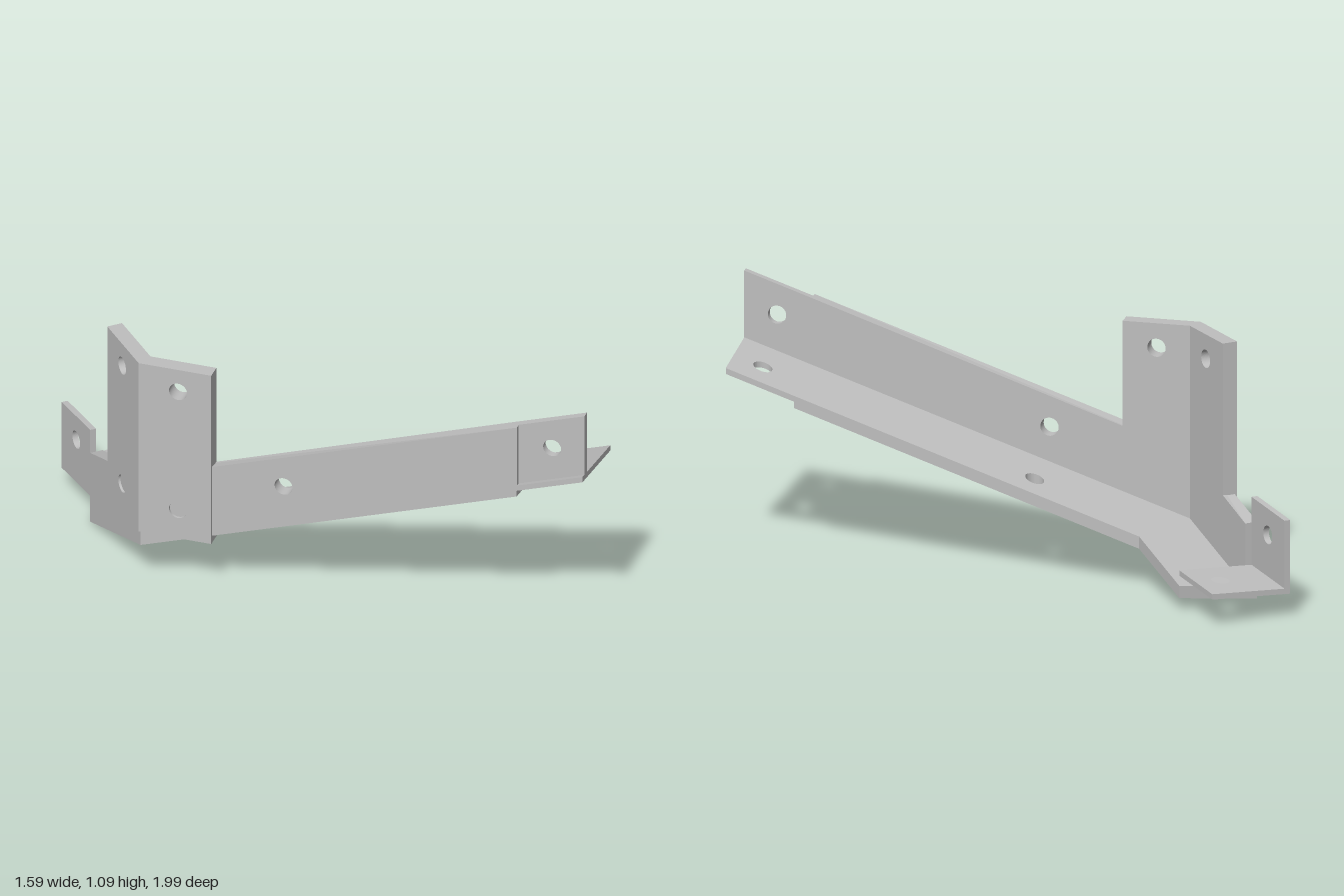
import * as THREE from 'three';

const steel = new THREE.MeshStandardMaterial({ color: 0xbfbfbf });
steel.name = 'grey steel';

const CORNER = [-0.785, -0.24];      // outer bend in plan (x, z)
const LONG = [0.738, 0.675];         // plan direction of the long arm
const SHORT = [0, 1];                // plan direction of the short arm (runs to negative s)
const T = 0.053;                     // wall thickness
const HALF = 0.023;                  // lap joint depth in the walls
const R = 0.037;                     // bolt hole radius

// Slope of the main flange and of the stepped end tab
const mainPlane = (x, z) => 0.41 + 0.148 * x + 0.336 * z;
const tabPlane = (x, z) => 0.165 + 0.07 * (x + 0.44) + 0.09 * (z + 0.725);

// Extrude an outline with round holes, then move each vertex by a rule
function plate(name, outline, holes, from, to, rule) {
  const shape = new THREE.Shape(outline.map(([u, v]) => new THREE.Vector2(u, v)));
  for (const [u, v] of holes) {
    shape.holes.push(new THREE.Path().absarc(u, v, R, 0, Math.PI * 2, true));
  }
  const geo = new THREE.ExtrudeGeometry(shape, { depth: to - from, bevelEnabled: false, curveSegments: 32 });
  const p = geo.attributes.position;
  for (let i = 0; i < p.count; i++) {
    p.setXYZ(i, ...rule(p.getX(i), p.getY(i), p.getZ(i) + from));
  }
  geo.computeVertexNormals();
  const mesh = new THREE.Mesh(geo, steel);
  mesh.name = name;
  return mesh;
}

// Sloping flange: outline in plan, vertical thickness measured from the plane
function flange(name, outline, holes, from, to, plane) {
  const flip = ([x, z]) => [x, -z];
  return plate(name, outline.map(flip), holes.map(flip), from, to,
    (u, v, w) => [u, plane(u, -v) + w, -v]);
}

// Vertical wall: outline in (distance along arm, height), w is outward; mitred at the bend
function wall(name, dir, outline, holes, from, to) {
  const mitre = dir === SHORT ? 0.44 : -0.44;
  return plate(name, outline, holes, from, to, (s, y, w) => {
    if (Math.abs(s) < 1e-5) s += mitre * w;
    return [CORNER[0] + s * dir[0] - w * dir[1], y, CORNER[1] + s * dir[1] + w * dir[0]];
  });
}

// Wall outline that follows the slope of the main flange
function slopedOutline(s0, s1) {
  const base = s => 0.213 + 0.336 * s;
  return [[s0, base(s0) - 0.015], [s1, base(s1) - 0.015], [s1, base(s1) + 0.265], [s0, base(s0) + 0.265]];
}

const rect = (a, b, c, d) => [[a, b], [c, b], [c, d], [a, d]];

export function createModel() {
  const model = new THREE.Group();
  model.name = 'angle bracket';

  // Main flange in two layers, the upper one running on as a half-thickness tip
  const heel = [[-0.44, -0.39], [-0.44, -0.725], [-0.785, -0.725], CORNER];
  const midHole = [-0.185, 0];
  model.add(
    flange('upperFlange', [...heel, [0.56, 0.99], [0.79, 0.74]], [midHole, [0.62, 0.75]], -0.024, 0, mainPlane),
    flange('lowerFlange', [...heel, [0.36, 0.807], [0.587, 0.554]], [midHole], -0.05, -0.024, mainPlane)
  );

  // Walls standing on the outer edge
  model.add(
    wall('longWall', LONG, slopedOutline(0, 1.552), [[0.59, 0.545]], -T, 0),
    wall('longWallTip', LONG, slopedOutline(1.552, 1.823), [[1.69, 0.92]], -T, -HALF),
    wall('shortWall', SHORT, slopedOutline(-0.485, 0), [], -T, 0)
  );

  // Bent upright post
  model.add(
    wall('uprightFrontLeg', LONG, rect(0, 0.23, 0.295, 1), [[0.158, 0.9], [0.158, 0.36]], -T, 0.01),
    wall('uprightSideLeg', SHORT, rect(-0.298, 0.23, 0, 1), [[-0.155, 0.9], [-0.155, 0.36]], -T, 0.01)
  );

  // Stepped end tab
  model.add(
    flange('tabFlange', rect(-0.785, -1, -0.44, -0.725), [[-0.55, -0.86]], -0.022, 0, tabPlane),
    wall('tabWall', SHORT, [[-0.76, 0.095], [-0.485, 0.12], [-0.485, 0.42], [-0.76, 0.395]], [[-0.62, 0.3]], -0.025, 0)
  );
  return model;
}
